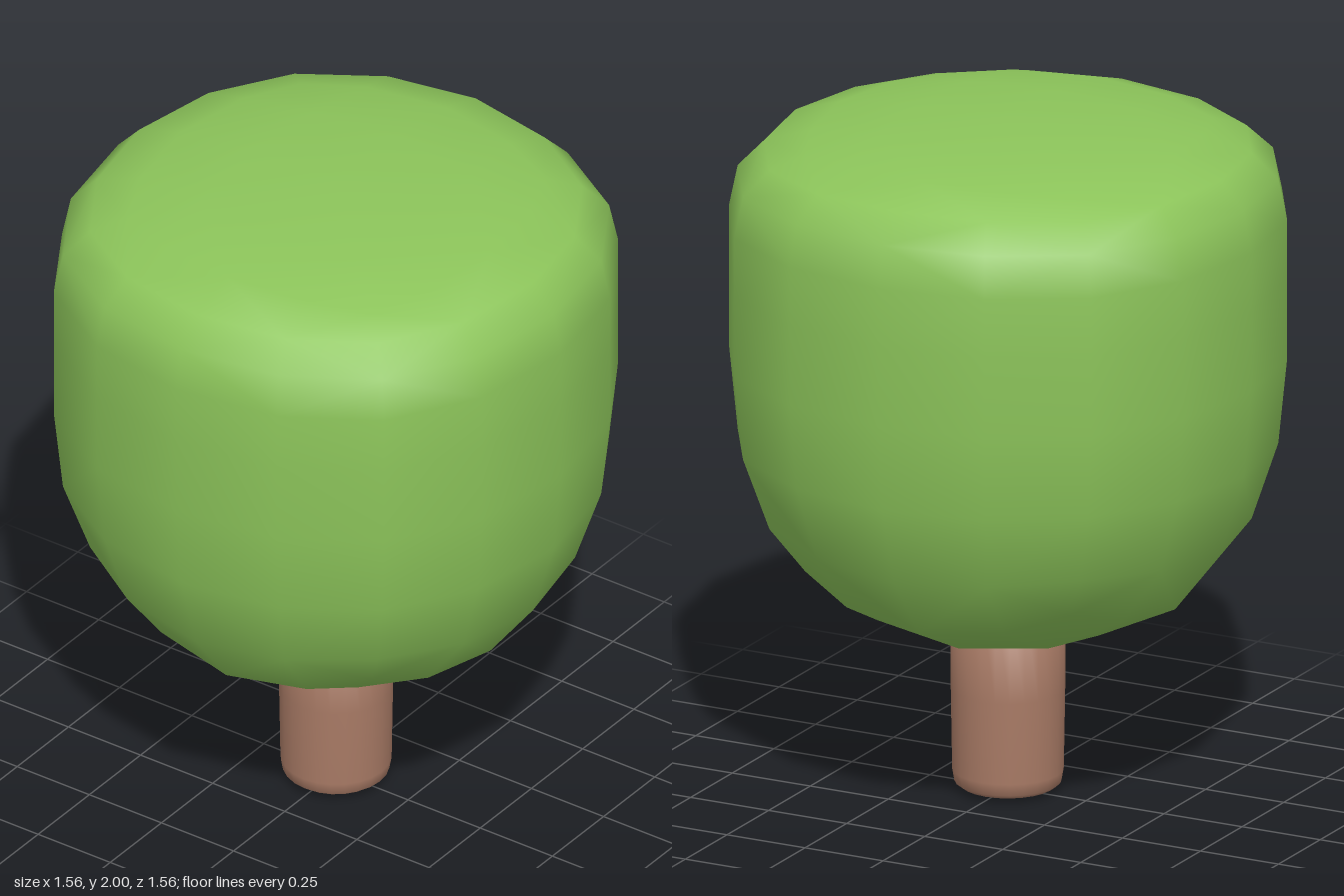
import * as THREE from 'three';

const average = (list) => list.reduce((sum, p) => sum.add(p), new THREE.Vector3()).divideScalar(list.length);

// One Catmull-Clark smoothing step on a closed quad cage
function subdivide({ points, quads }) {
  const out = [];
  const edges = new Map();
  const around = points.map(() => ({ faces: [], mids: [] }));
  const facePoints = quads.map((q) => average(q.map((i) => points[i])));
  const key = (a, b) => Math.min(a, b) + '_' + Math.max(a, b);

  quads.forEach((q, f) => q.forEach((a, k) => {
    const b = q[(k + 1) % 4];
    around[a].faces.push(facePoints[f]);
    if (!edges.has(key(a, b))) {
      edges.set(key(a, b), { ends: [a, b], faces: [] });
      const mid = average([points[a], points[b]]);
      around[a].mids.push(mid);
      around[b].mids.push(mid);
    }
    edges.get(key(a, b)).faces.push(facePoints[f]);
  }));

  points.forEach((p, i) => {
    const n = around[i].faces.length;
    out.push(average(around[i].faces)
      .addScaledVector(average(around[i].mids), 2)
      .addScaledVector(p, n - 3)
      .divideScalar(n));
  });
  for (const edge of edges.values()) {
    edge.index = out.length;
    out.push(average([...edge.ends.map((i) => points[i]), ...edge.faces]));
  }
  const next = [];
  quads.forEach((q, f) => {
    const centre = out.push(facePoints[f]) - 1;
    q.forEach((a, k) => next.push([
      a,
      edges.get(key(a, q[(k + 1) % 4])).index,
      centre,
      edges.get(key(q[(k + 3) % 4], a)).index,
    ]));
  });
  return { points: out, quads: next };
}

// Square column cage with a ring of four corners at each height
function columnCage(half, heights) {
  const points = [];
  const quads = [[0, 3, 2, 1]];
  for (const y of heights) {
    for (const [x, z] of [[1, 1], [1, -1], [-1, -1], [-1, 1]]) {
      points.push(new THREE.Vector3(x * half, y, z * half));
    }
  }
  for (let r = 0; r < heights.length - 1; r++) {
    for (let k = 0; k < 4; k++) {
      const a = r * 4 + k, b = r * 4 + (k + 1) % 4;
      quads.push([a, b, b + 4, a + 4]);
    }
  }
  const t = (heights.length - 1) * 4;
  quads.push([t, t + 1, t + 2, t + 3]);
  return { points, quads };
}

function cageGeometry({ points, quads }) {
  const geometry = new THREE.BufferGeometry().setFromPoints(points);
  geometry.setIndex(quads.flatMap(([a, b, c, d]) => [a, b, c, a, c, d]));
  geometry.computeVertexNormals();
  return geometry;
}

export function createModel() {
  const leafGreen = new THREE.MeshStandardMaterial({ color: 0x8cc45a });
  leafGreen.name = 'leafGreen';
  const barkBrown = new THREE.MeshStandardMaterial({ color: 0xa87a65 });
  barkBrown.name = 'barkBrown';

  const tree = new THREE.Group();
  tree.name = 'tree';

  // Rounded crown, flatter at the top because of the high extra ring
  const cage = columnCage(0.832, [0.38, 1.688, 2.02]);
  const crown = new THREE.Mesh(cageGeometry(subdivide(subdivide(cage))), leafGreen);
  crown.name = 'crown';

  // Trunk with a softly rounded foot
  const profile = [[0, 0], [0.08, 0.004], [0.135, 0.012], [0.152, 0.025], [0.158, 0.06], [0.162, 0.3], [0.162, 0.6], [0, 0.6]];
  const trunk = new THREE.Mesh(
    new THREE.LatheGeometry(profile.map(([x, y]) => new THREE.Vector2(x, y)), 24),
    barkBrown,
  );
  trunk.name = 'trunk';

  tree.add(crown, trunk);
  return tree;
}
